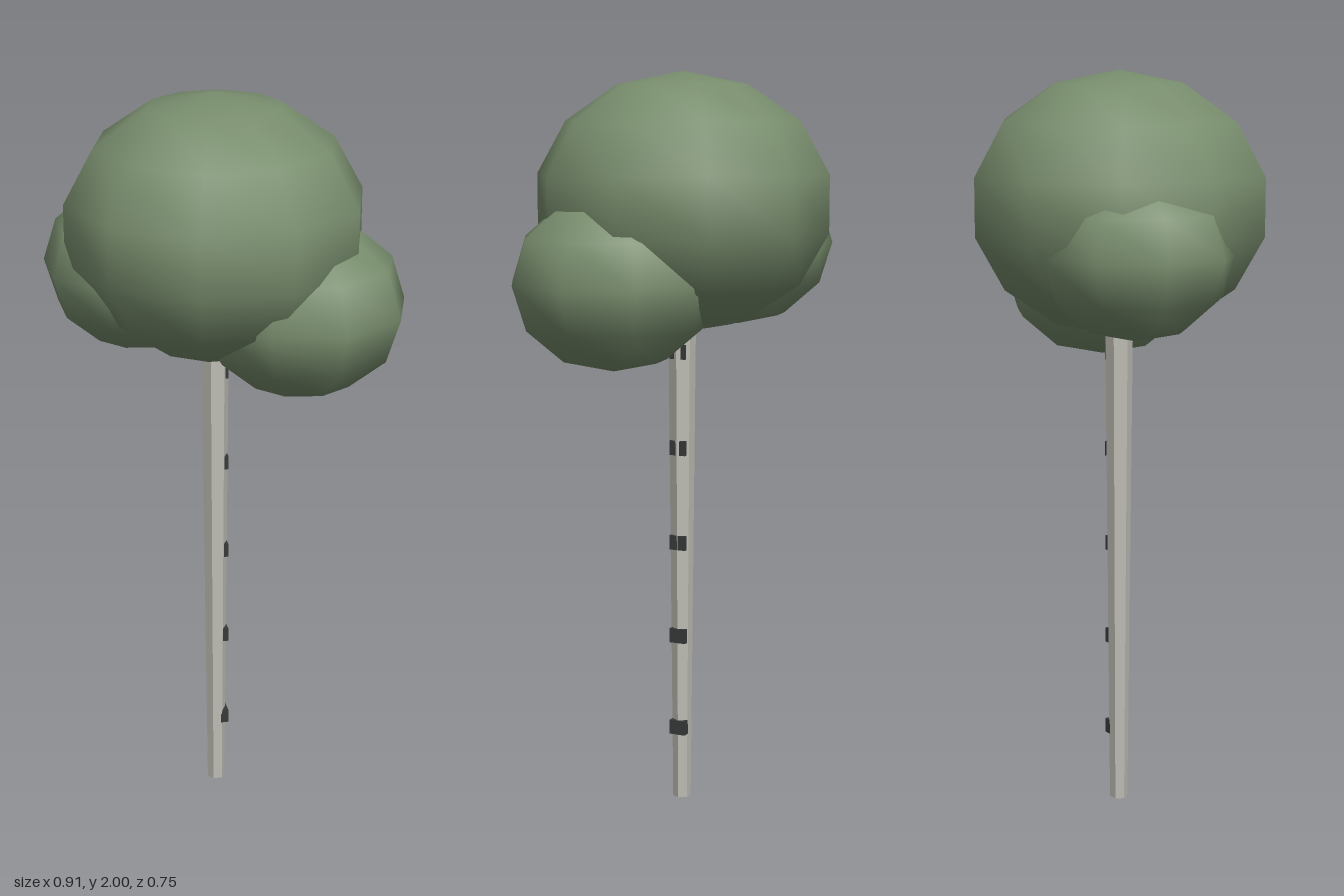
import * as THREE from 'three';

function mat(name, color) {
  const m = new THREE.MeshStandardMaterial({ color });
  m.name = name;
  return m;
}

export function createModel() {
  const tree = new THREE.Group();
  tree.name = 'tree';
  const leaf = mat('leafGreen', 0x788d6d);
  const bark = mat('paleBark', 0xbdbcb4);
  const dark = mat('darkBark', 0x383a3a);
  // The cylinder's edges fall on the x axis after a quarter turn
  bark.flatShading = true;

  function add(name, geometry, material, x, y, z) {
    const mesh = new THREE.Mesh(geometry, material);
    mesh.name = name;
    mesh.position.set(x, y, z);
    tree.add(mesh);
    return mesh;
  }

  // Six-sided trunk, slightly wider towards the top
  const height = 1.4;
  const trunk = add('trunk', new THREE.CylinderGeometry(0.038, 0.0245, height, 6), bark, -0.031, height / 2, 0);
  trunk.rotation.y = Math.PI / 2;

  // Dark bark marks, gradually swallowed by the widening trunk
  for (let i = 0; i < 5; i++) {
    add('barkMark', new THREE.BoxGeometry(0.021, 0.04, 0.046), dark, -0.0105, 0.205 + i * 0.263, 0);
  }

  // Squashed low-poly foliage: centre, horizontal and vertical radius, segments
  const clumps = [
    ['mainCrown', -0.03, 1.654, 0, 0.403, 0.346, 10, 7],
    ['leftFoliage', 0.175, 1.455, 0.1, 0.28, 0.235, 9, 6],
    ['rightFoliage', -0.21, 1.54, -0.083, 0.26, 0.222, 9, 6],
  ];
  for (const [name, x, y, z, r, ry, w, h] of clumps) {
    const clump = add(name, new THREE.SphereGeometry(1, w, h), leaf, x, y, z);
    clump.scale.set(r, ry, r);
    clump.rotation.y = Math.PI;
  }
  return tree;
}
